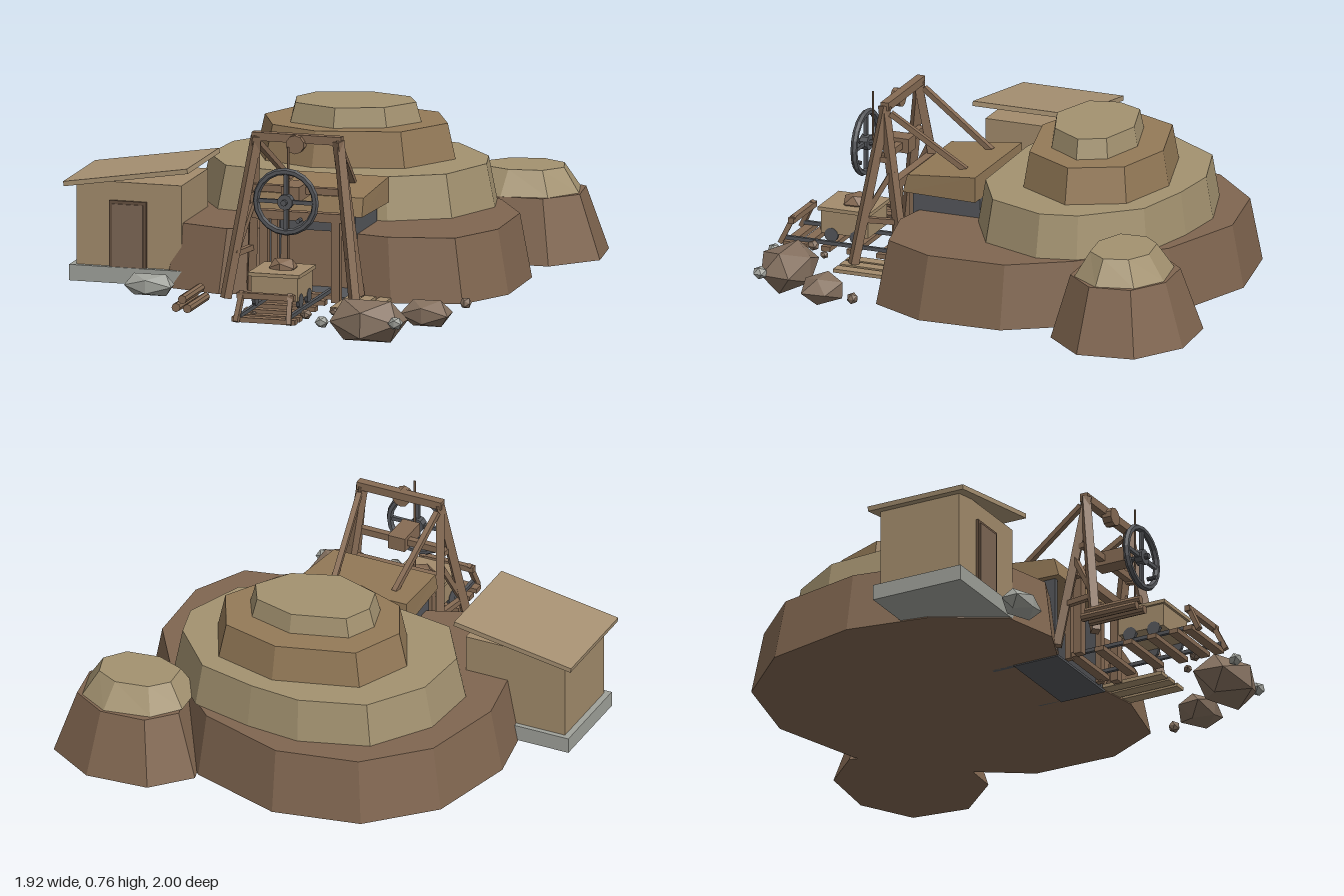
import * as THREE from 'three';

const V = (x, y, z) => new THREE.Vector3(x, y, z);
const mats = {};
const mat = (c) => (mats[c] ??= new THREE.MeshStandardMaterial({ color: c, flatShading: true }));
const WOOD = 0x866b54, PALE = 0xa38c6c, IRON = 0x55575b, STONE = 0xa0a29b, EARTH = 0x806650, SAND = 0xa39270, CLAY = 0x947a58;

export function createModel() {
  const root = new THREE.Group();

  const add = (name, geo, color, x = 0, y = 0, z = 0, parent = root) => {
    const m = new THREE.Mesh(geo, mat(color));
    m.name = name;
    m.position.set(x, y, z);
    parent.add(m);
    return m;
  };
  const group = (name) => {
    const g = new THREE.Group();
    g.name = name;
    root.add(g);
    return g;
  };
  // box given by its minimum and maximum corners
  const box = (name, color, a, b, parent = root) =>
    add(name, new THREE.BoxGeometry(b[0] - a[0], b[1] - a[1], b[2] - a[2]), color,
      (a[0] + b[0]) / 2, (a[1] + b[1]) / 2, (a[2] + b[2]) / 2, parent);
  // square timber between two points
  const beam = (name, a, b, w, parent = root, color = WOOD) => {
    const m = add(name, new THREE.BoxGeometry(w, w, a.distanceTo(b)), color, 0, 0, 0, parent);
    m.position.copy(a).lerp(b, 0.5);
    m.lookAt(b);
    return m;
  };
  // terrace: an x-z outline rising from y0 to y1 and drawn in towards (cx, cz)
  const terrace = (name, color, pts, y0, y1, cx, cz, sx, sz = sx) => {
    const shape = new THREE.Shape(pts.map(([x, z]) => new THREE.Vector2(x, -z)));
    const geo = new THREE.ExtrudeGeometry(shape, { depth: y1 - y0, bevelEnabled: false });
    geo.rotateX(-Math.PI / 2);
    const p = geo.attributes.position;
    for (let i = 0; i < p.count; i++) {
      if (p.getY(i) < 0.001) continue;
      p.setX(i, cx + (p.getX(i) - cx) * sx);
      p.setZ(i, cz + (p.getZ(i) - cz) * sz);
    }
    geo.computeVertexNormals();
    add(name, geo, color, 0, y0, 0);
  };
  // low-poly rock, each corner pushed in or out by a fixed rule
  const rock = (name, color, x, y, z, rx, ry, rz) => {
    const geo = new THREE.IcosahedronGeometry(1, 0);
    const p = geo.attributes.position;
    for (let i = 0; i < p.count; i++) {
      const v = V().fromBufferAttribute(p, i);
      const k = 1 + 0.1 * Math.sin(7 * v.x + 11 * v.y + 5 * v.z + x * 20);
      p.setXYZ(i, v.x * k * rx, v.y * ry * 1.15, v.z * k * rz);
    }
    geo.computeVertexNormals();
    add(name, geo, color, x, y, z);
  };

  // main hill, with a notch at the front for the tunnel
  terrace('hillBase', EARTH, [[-0.07, -0.93], [-0.43, -0.86], [-0.67, -0.62], [-0.76, -0.24], [-0.7, 0.1],
    [-0.54, 0.38], [-0.3, 0.445], [-0.14, 0.38], [-0.14, 0.2], [0.25, 0.2], [0.25, 0.38], [0.41, 0.41],
    [0.69, 0.345], [0.81, 0.11], [0.8, -0.24], [0.64, -0.49], [0.32, -0.8]], 0.07, 0.33, 0.03, -0.22, 0.935);
  terrace('hillSecondTier', SAND, [[-0.11, -0.78], [-0.39, -0.69], [-0.55, -0.45], [-0.57, -0.18], [-0.43, 0.04],
    [-0.18, 0.08], [0.29, 0.07], [0.52, -0.06], [0.62, -0.32], [0.58, -0.48], [0.38, -0.7], [0.12, -0.76]],
  0.33, 0.505, 0.03, -0.35, 0.94);
  terrace('hillThirdTier', CLAY, [[0.06, -0.66], [-0.28, -0.56], [-0.38, -0.33], [-0.28, -0.12], [-0.06, -0.04],
    [0.3, -0.13], [0.44, -0.37], [0.33, -0.59]], 0.505, 0.65, 0.03, -0.35, 0.92);
  terrace('hillTop', SAND, [[0.05, -0.52], [-0.18, -0.45], [-0.235, -0.33], [-0.2, -0.2], [0, -0.135],
    [0.2, -0.21], [0.3, -0.36], [0.24, -0.47]], 0.65, 0.73, 0.03, -0.33, 0.92);

  // small hill at the back
  terrace('smallHillBase', EARTH, [[0.46, -0.98], [0.72, -1], [0.925, -0.875], [0.96, -0.64], [0.8, -0.46],
    [0.55, -0.45], [0.38, -0.6], [0.32, -0.83]], 0.07, 0.33, 0.64, -0.7, 0.72);
  terrace('smallHillTop', SAND, [[0.5, -0.87], [0.69, -0.905], [0.82, -0.83], [0.86, -0.68], [0.77, -0.55],
    [0.58, -0.52], [0.42, -0.59], [0.41, -0.76]], 0.33, 0.43, 0.63, -0.7, 0.72, 0.65);

  // tunnel lining and its sloping roof block
  const tunnel = group('tunnel');
  box('tunnelFloor', IRON, [-0.14, 0.065, 0.18], [0.25, 0.075, 0.38], tunnel);
  box('tunnelBack', IRON, [-0.14, 0.3, 0.08], [0.25, 0.41, 0.19], tunnel);
  for (const x of [-0.14, 0.23]) box('tunnelSide', IRON, [x, 0.07, 0.08], [x + 0.02, 0.41, 0.37], tunnel);
  const roofBlock = box('tunnelRoof', CLAY, [-0.18, 0.41, 0.08], [0.3, 0.515, 0.38], tunnel);
  const rp = roofBlock.geometry.attributes.position;
  for (let i = 0; i < rp.count; i++) {
    if (rp.getZ(i) < 0) continue;
    rp.setX(i, rp.getX(i) * 0.94);
    if (rp.getY(i) > 0) rp.setY(i, rp.getY(i) - 0.03);
    else rp.setZ(i, rp.getZ(i) + 0.02);
  }
  roofBlock.geometry.computeVertexNormals();

  // hut
  const hut = group('hut');
  box('hutFoundation', STONE, [-0.945, 0.075, -0.015], [-0.465, 0.14, 0.385], hut);
  box('hutWalls', PALE, [-0.92, 0.14, 0.005], [-0.48, 0.485, 0.365], hut);
  box('hutDoorFrame', 0x65503f, [-0.78, 0.14, 0.36], [-0.625, 0.41, 0.375], hut);
  box('hutDoor', 0x7d6755, [-0.767, 0.14, 0.365], [-0.638, 0.397, 0.38], hut);
  const roof = add('hutRoof', new THREE.BoxGeometry(0.525, 0.02, 0.435), 0xa89273, -0.703, 0.513, 0.188, hut);
  roof.rotation.z = 0.157;

  // headframe: mirrored A-frames about x = 0.048
  const frame = group('headframe');
  const CX = 0.048;
  for (const s of [-1, 1]) {
    const at = (dx, y, z) => V(CX + s * dx, y, z);
    beam('frontLeg', at(0.27, 0.09, 0.6), at(0.172, 0.74, 0.5), 0.034, frame);
    beam('backLeg', at(0.225, 0.09, 0.4), at(0.172, 0.74, 0.51), 0.034, frame);
    beam('backStay', at(0.172, 0.71, 0.48), at(0.132, 0.5, 0.17), 0.022, frame);
    beam('lowerTie', at(0.235, 0.27, 0.575), at(0.21, 0.27, 0.43), 0.022, frame);
    beam('upperTie', at(0.2, 0.52, 0.54), at(0.19, 0.52, 0.47), 0.022, frame);
    beam('sideBrace', at(0.235, 0.27, 0.575), at(0.195, 0.48, 0.46), 0.02, frame);
    beam('entrancePost', at(0.15, 0.07, 0.46), at(0.15, 0.42, 0.46), 0.034, frame);
    beam('innerPost', at(0.125, 0.07, 0.4), at(0.125, 0.42, 0.4), 0.026, frame);
  }
  beam('topBeam', V(-0.14, 0.74, 0.5), V(0.235, 0.74, 0.5), 0.034, frame);
  beam('entranceLintel', V(-0.15, 0.415, 0.46), V(0.245, 0.415, 0.46), 0.036, frame);
  beam('middleBeam', V(-0.14, 0.53, 0.5), V(0.235, 0.53, 0.5), 0.028, frame);
  box('axleBearing', WOOD, [0.01, 0.5, 0.46], [0.085, 0.56, 0.6], frame);
  add('topPulley', new THREE.CylinderGeometry(0.038, 0.038, 0.04, 10), WOOD, CX, 0.72, 0.52, frame).rotation.x = Math.PI / 2;

  // winding wheel, axle and rope
  const wheel = group('windingWheel');
  wheel.position.set(CX, 0.512, 0.66);
  add('wheelRim', new THREE.TorusGeometry(0.124, 0.014, 6, 20), IRON, 0, 0, 0, wheel);
  for (const a of [0, Math.PI / 2])
    add('wheelSpoke', new THREE.BoxGeometry(0.24, 0.016, 0.014), IRON, 0, 0, 0, wheel).rotation.z = a;
  for (const [name, r, len, z] of [['wheelHub', 0.032, 0.034, 0], ['wheelAxle', 0.012, 0.17, -0.05]])
    add(name, new THREE.CylinderGeometry(r, r, len, 10), IRON, 0, 0, z, wheel).rotation.x = Math.PI / 2;
  add('wheelHandle', new THREE.CylinderGeometry(0.009, 0.009, 0.04, 8), IRON, 0.06, -0.07, 0.015, wheel).rotation.x = Math.PI / 2;
  add('rope', new THREE.CylinderGeometry(0.005, 0.005, 0.46, 6), WOOD, CX, 0.5, 0.63);

  // track with sleepers and an end stop
  const track = group('track');
  for (const z of [0.42, 0.54, 0.67, 0.78, 0.88, 0.945])
    box('sleeper', WOOD, [-0.085, 0.075, z - 0.02], [0.18, 0.095, z + 0.02], track);
  for (const x of [-0.05, 0.15]) {
    box('rail', IRON, [x - 0.007, 0.095, 0.38], [x + 0.007, 0.11, 0.97], track);
    beam('stopPost', V(x - Math.sign(x) * -0.01, 0.08, 0.985), V(x, 0.195, 0.93), 0.02, track);
  }
  beam('stopBar', V(-0.07, 0.18, 0.935), V(0.17, 0.18, 0.935), 0.024, track);

  // ore cart with a rock in it
  const cart = group('oreCart');
  box('cartBody', PALE, [-0.05, 0.14, 0.61], [0.145, 0.235, 0.815], cart);
  box('cartRim', PALE, [-0.06, 0.235, 0.6], [0.155, 0.25, 0.825], cart);
  for (const x of [-0.045, 0.14]) for (const z of [0.66, 0.77])
    add('cartWheel', new THREE.CylinderGeometry(0.03, 0.03, 0.014, 10), IRON, x, 0.135, z, cart).rotation.z = Math.PI / 2;
  rock('cartRock', WOOD, 0.05, 0.255, 0.7, 0.065, 0.035, 0.065);

  // loose planks and a pile of logs
  for (const x of [0.255, 0.318, 0.385]) box('plank', PALE, [x - 0.025, 0.075, 0.38], [x + 0.025, 0.09, 0.65]);
  for (const [x, y, z] of [[-0.35, 0.095, 0.737], [-0.3, 0.095, 0.745], [-0.323, 0.13, 0.74]])
    add('log', new THREE.CylinderGeometry(0.018, 0.018, 0.25, 8), WOOD, x, y, z).rotation.x = Math.PI / 2;

  // scattered rocks
  const BROWN = 0x84705f;
  rock('largeRock', BROWN, 0.445, 0.085, 0.83, 0.18, 0.086, 0.125);
  rock('mediumRock', BROWN, 0.62, 0.082, 0.605, 0.112, 0.055, 0.092);
  rock('greyRock', STONE, -0.585, 0.095, 0.46, 0.12, 0.045, 0.075);
  for (const [x, z, r, c] of [[0.73, 0.43, 0.026, BROWN], [0.29, 0.955, 0.028, STONE], [0.58, 0.895, 0.03, STONE],
    [0.185, 0.83, 0.024, BROWN], [0.275, 0.745, 0.018, BROWN], [-0.02, 0.875, 0.013, BROWN]])
    rock('pebble', c, x, 0.095, z, r, r * 0.8, r);

  return root;
}
